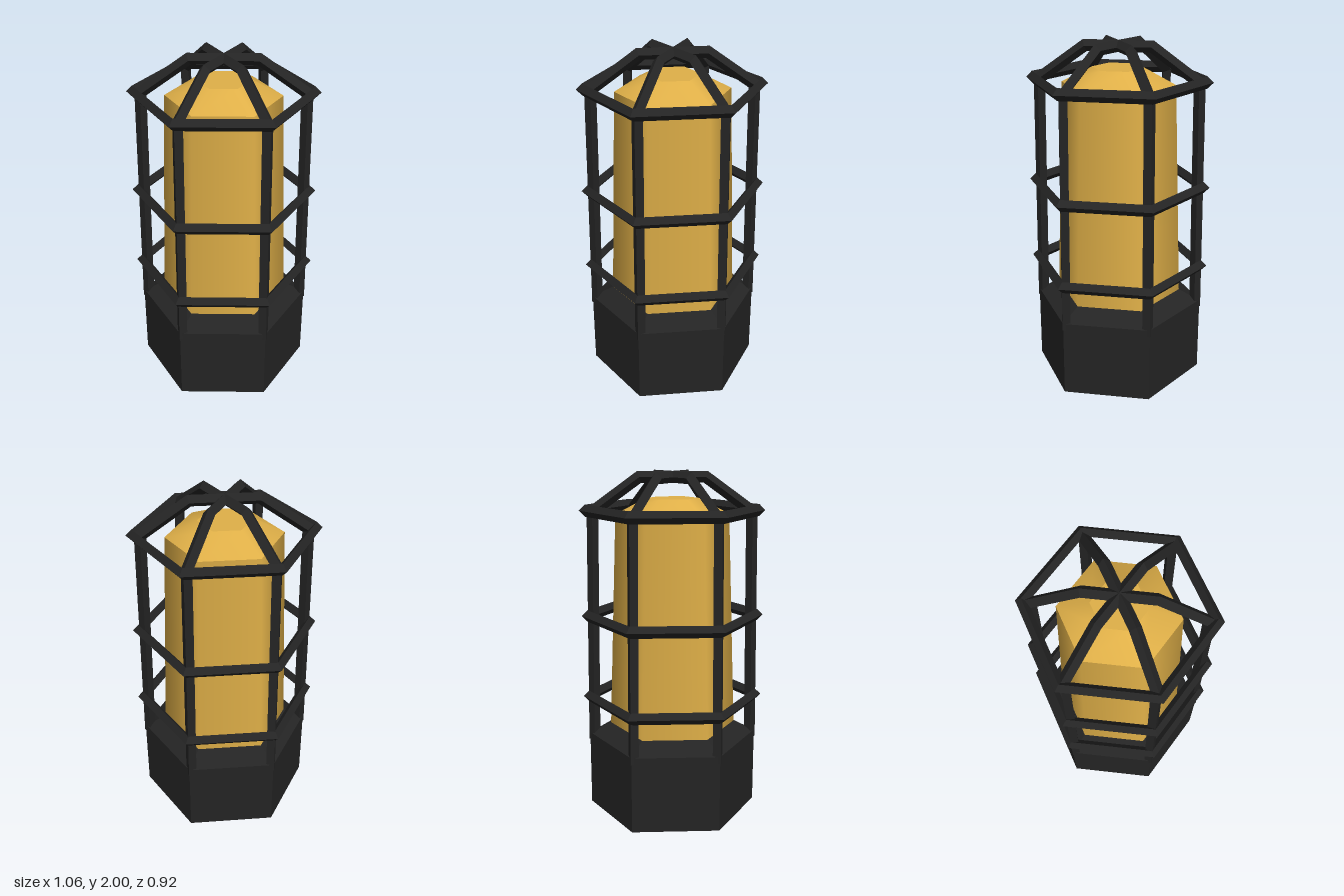
import * as THREE from 'three';

const SIDES = 6;

export function createModel() {
  const black = new THREE.MeshStandardMaterial({ color: 0x242424, side: THREE.DoubleSide, flatShading: true });
  black.name = 'black metal';
  const amber = new THREE.MeshStandardMaterial({ color: 0xe0b048, side: THREE.DoubleSide });
  amber.name = 'amber glass';

  const model = new THREE.Group();
  model.name = 'cagedLamp';

  const add = (parent, name, geometry, material) => {
    const mesh = new THREE.Mesh(geometry, material);
    mesh.name = name;
    parent.add(mesh);
    return mesh;
  };

  // Open six-sided band between two heights, with corners on the x axis
  const band = (parent, name, r0, y0, r1, y1, material) => {
    const g = new THREE.CylinderGeometry(r1, r0, y1 - y0, SIDES, 1, true, Math.PI / 2);
    g.translate(0, (y0 + y1) / 2, 0);
    return add(parent, name, g, material);
  };

  // Hollow base, open underneath, with a sloped shoulder
  const base = new THREE.Group();
  base.name = 'base';
  model.add(base);
  band(base, 'baseWall', 0.498, 0, 0.498, 0.45, black);
  band(base, 'baseShoulder', 0.498, 0.45, 0.365, 0.515, black);

  // Tapered lens with a bevelled top
  const lens = new THREE.Group();
  lens.name = 'lens';
  model.add(lens);
  band(lens, 'lensWall', 0.372, 0.5, 0.325, 1.76, amber);
  band(lens, 'lensBevel', 0.325, 1.76, 0.15, 1.85, amber);
  const top = new THREE.CircleGeometry(0.15, SIDES);
  top.rotateX(-Math.PI / 2).translate(0, 1.85, 0);
  add(lens, 'lensTop', top, amber);

  // Cage: three horizontal rings
  const cage = new THREE.Group();
  cage.name = 'cage';
  model.add(cage);
  for (const y of [0.68, 1.17, 1.78]) {
    const ring = new THREE.TorusGeometry(0.497, 0.034, 4, SIDES);
    ring.rotateX(Math.PI / 2).translate(0, y, 0);
    add(cage, 'cageRing', ring, black);
  }

  // Cage: six bent bars that meet at the top centre
  const bar = bentBar([[0.471, 0.41], [0.454, 1.775], [0.188, 1.967], [0, 1.967]], 0.033);
  for (let i = 0; i < SIDES; i++) {
    add(cage, 'cageBar', bar, black).rotation.y = (i * Math.PI * 2) / SIDES;
  }
  return model;
}

// Mitred diamond-section bar along a path of [radius, height] points
function bentBar(path, half) {
  const dir = (a, b) => new THREE.Vector2(b[0] - a[0], b[1] - a[1]).normalize();
  const rings = path.map(([r, y], i) => {
    const before = dir(path[Math.max(i - 1, 0)], path[Math.max(i, 1)]);
    const last = path.length - 1;
    const after = dir(path[Math.min(i, last - 1)], path[Math.min(i + 1, last)]);
    const t = before.clone().add(after).normalize();
    const m = half / t.dot(before);
    return [
      [r + t.y * m, y - t.x * m, 0], [r, y, half],
      [r - t.y * m, y + t.x * m, 0], [r, y, -half],
    ];
  });
  const pos = [];
  const tri = (...corners) => corners.forEach((c) => pos.push(...c));
  for (let i = 0; i < rings.length - 1; i++) {
    for (let j = 0; j < 4; j++) {
      const k = (j + 1) % 4;
      const [a, b, c, d] = [rings[i][j], rings[i][k], rings[i + 1][k], rings[i + 1][j]];
      tri(a, d, c);
      tri(a, c, b);
    }
  }
  // Lower end cap
  const [p, q, s, u] = rings[0];
  tri(p, q, s);
  tri(p, s, u);
  const g = new THREE.BufferGeometry();
  g.setAttribute('position', new THREE.Float32BufferAttribute(pos, 3));
  g.computeVertexNormals();
  return g;
}
